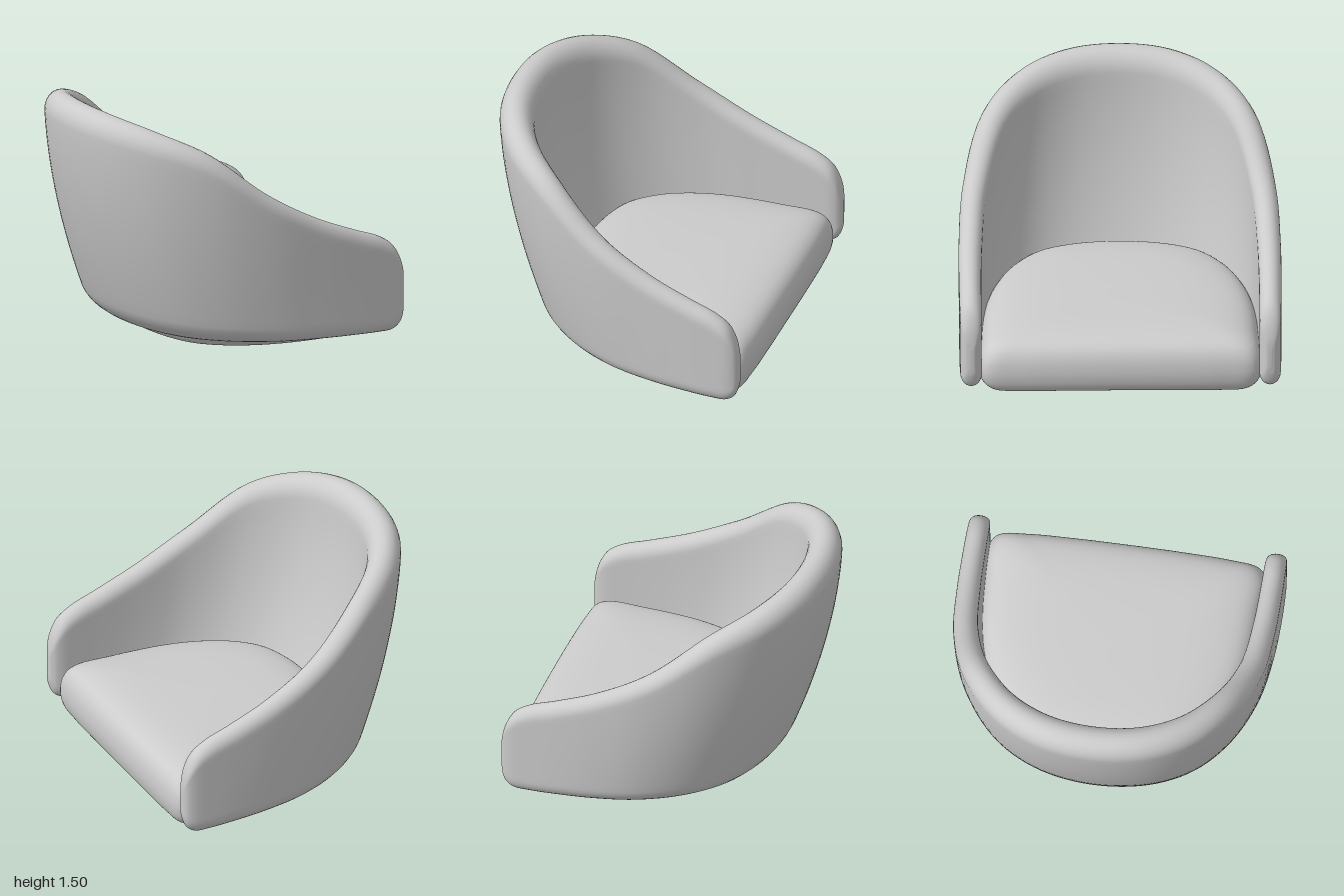
import * as THREE from 'three';

const material = new THREE.MeshStandardMaterial({ color: 0xcccccc });
const V = (x, y, z) => new THREE.Vector3(x, y, z);

// Skins a list of closed rings (equal point counts) into one smooth mesh
function loft(name, rings) {
  const n = rings[0].length, pos = [], index = [];
  rings.forEach(r => r.forEach(p => pos.push(p.x, p.y, p.z)));
  for (let i = 0; i < rings.length - 1; i++) {
    for (let j = 0; j < n; j++) {
      const a = i * n + j, b = i * n + (j + 1) % n, d = a + n, c = b + n;
      index.push(a, d, c, a, c, b);
    }
  }
  const g = new THREE.BufferGeometry();
  g.setAttribute('position', new THREE.Float32BufferAttribute(pos, 3));
  g.setIndex(index);
  g.computeVertexNormals();
  const mesh = new THREE.Mesh(g, material);
  mesh.name = name;
  return mesh;
}

// Half of the wraparound shell, from the middle of the back to the arm tip:
// top x, top z, top y, bottom x, bottom z, bottom y, half thickness
const stations = [
  [-0.82, 0, 1.51, -0.495, 0, 0.072, 0.11],
  [-0.775, 0.31, 1.495, -0.455, 0.3, 0.072, 0.108],
  [-0.63, 0.575, 1.437, -0.35, 0.53, 0.07, 0.1],
  [-0.38, 0.778, 1.313, -0.17, 0.71, 0.067, 0.088],
  [-0.03, 0.893, 1.035, 0.08, 0.84, 0.062, 0.078],
  [0.3, 0.922, 0.845, 0.34, 0.9, 0.057, 0.073],
  [0.58, 0.927, 0.727, 0.6, 0.922, 0.05, 0.07],
  [0.75, 0.926, 0.662, 0.75, 0.924, 0.046, 0.068],
  [0.84, 0.925, 0.6, 0.84, 0.922, 0.05, 0.065],
  [0.89, 0.924, 0.515, 0.89, 0.921, 0.085, 0.052],
  [0.915, 0.923, 0.42, 0.915, 0.92, 0.15, 0.03],
  [0.922, 0.923, 0.35, 0.922, 0.92, 0.21, 0.01],
];

function makeShell() {
  const mirrored = stations.slice(1).reverse()
    .map(([tx, tz, ty, bx, bz, by, r]) => [tx, -tz, ty, bx, -bz, by, r]);
  const all = [...mirrored, ...stations];
  const top = new THREE.CatmullRomCurve3(all.map(s => V(s[0], s[2], s[1])));
  const bottom = new THREE.CatmullRomCurve3(all.map(s => V(s[3], s[5], s[4])));
  const thick = new THREE.CatmullRomCurve3(all.map((s, i) => V(i * 0.1, s[6], 0)));
  const steps = (all.length - 1) * 6, sideSteps = 18, arcSteps = 12;
  const rings = [];
  for (let i = 0; i <= steps; i++) {
    const t = i / steps;
    const T = top.getPoint(t), B = bottom.getPoint(t), r = thick.getPoint(t).y;
    const dir = top.getTangent(t).setY(0).normalize()
      .add(bottom.getTangent(t).setY(0).normalize()).normalize();
    const ring = [];
    // side: +1 outer face, -1 inner face; the wall flares outwards with height
    const add = (side, y) => {
      const v = THREE.MathUtils.clamp((y - B.y) / (T.y - B.y), 0, 1);
      const f = 1 - Math.pow(1 - v, 1.8);
      ring.push(V(
        THREE.MathUtils.lerp(B.x, T.x, f) - dir.z * r * side, y,
        THREE.MathUtils.lerp(B.z, T.z, f) + dir.x * r * side));
    };
    const cap = r * 1.25, lo = B.y + cap, hi = T.y - cap;
    for (let k = 0; k < sideSteps; k++) add(1, lo + (hi - lo) * k / sideSteps);
    for (let k = 0; k < arcSteps; k++) {
      const a = Math.PI * k / arcSteps;
      add(Math.cos(a), hi + cap * Math.sin(a));
    }
    for (let k = 0; k < sideSteps; k++) add(-1, hi + (lo - hi) * k / sideSteps);
    for (let k = 0; k < arcSteps; k++) {
      const a = Math.PI * k / arcSteps;
      add(-Math.cos(a), lo - cap * Math.sin(a));
    }
    rings.push(ring);
  }
  // Close the arm tips
  const collapse = ring => {
    const c = ring.reduce((s, p) => s.add(p), V(0, 0, 0)).divideScalar(ring.length);
    return ring.map(() => c.clone());
  };
  rings.unshift(collapse(rings[0]));
  rings.push(collapse(rings[rings.length - 1]));
  return loft('backAndArms', rings);
}

function makeSeat() {
  // Plan outline, half from front middle to back middle, then mirrored
  const half = [[0.925, 0], [0.923, 0.35], [0.914, 0.65], [0.89, 0.82], [0.82, 0.868], [0.6, 0.866],
    [0.4, 0.858], [0.2, 0.836], [0, 0.785], [-0.2, 0.69], [-0.37, 0.53], [-0.455, 0.3], [-0.482, 0]];
  const outline = [...half, ...half.slice(1, -1).reverse().map(([x, z]) => [x, -z])];
  const plan = new THREE.CatmullRomCurve3(outline.map(([x, z]) => V(x, 0, z)), true).getPoints(120).slice(0, -1);
  // Cushion profile: outline scale and height, from underside to crown
  const profile = new THREE.CatmullRomCurve3([
    [0, 0.022], [0.5, 0.02], [0.78, 0.016], [0.87, 0.018], [0.935, 0.035], [0.98, 0.08], [1, 0.15],
    [0.998, 0.21], [0.983, 0.265], [0.945, 0.318], [0.87, 0.358], [0.7, 0.387], [0.4, 0.4], [0, 0.404],
  ].map(([k, y]) => V(k, y, 0))).getPoints(52);
  const cx = 0.22;
  // The whole cushion sags slightly towards its sides
  const rings = profile.map(q => plan.map(p => {
    const z = p.z * q.x;
    return V(cx + (p.x - cx) * q.x, q.y - 0.02 * z * z, z);
  }));
  return loft('seatCushion', rings);
}

export function createModel() {
  const chair = new THREE.Group();
  chair.name = 'tubChair';
  chair.add(makeShell(), makeSeat());
  return chair;
}
